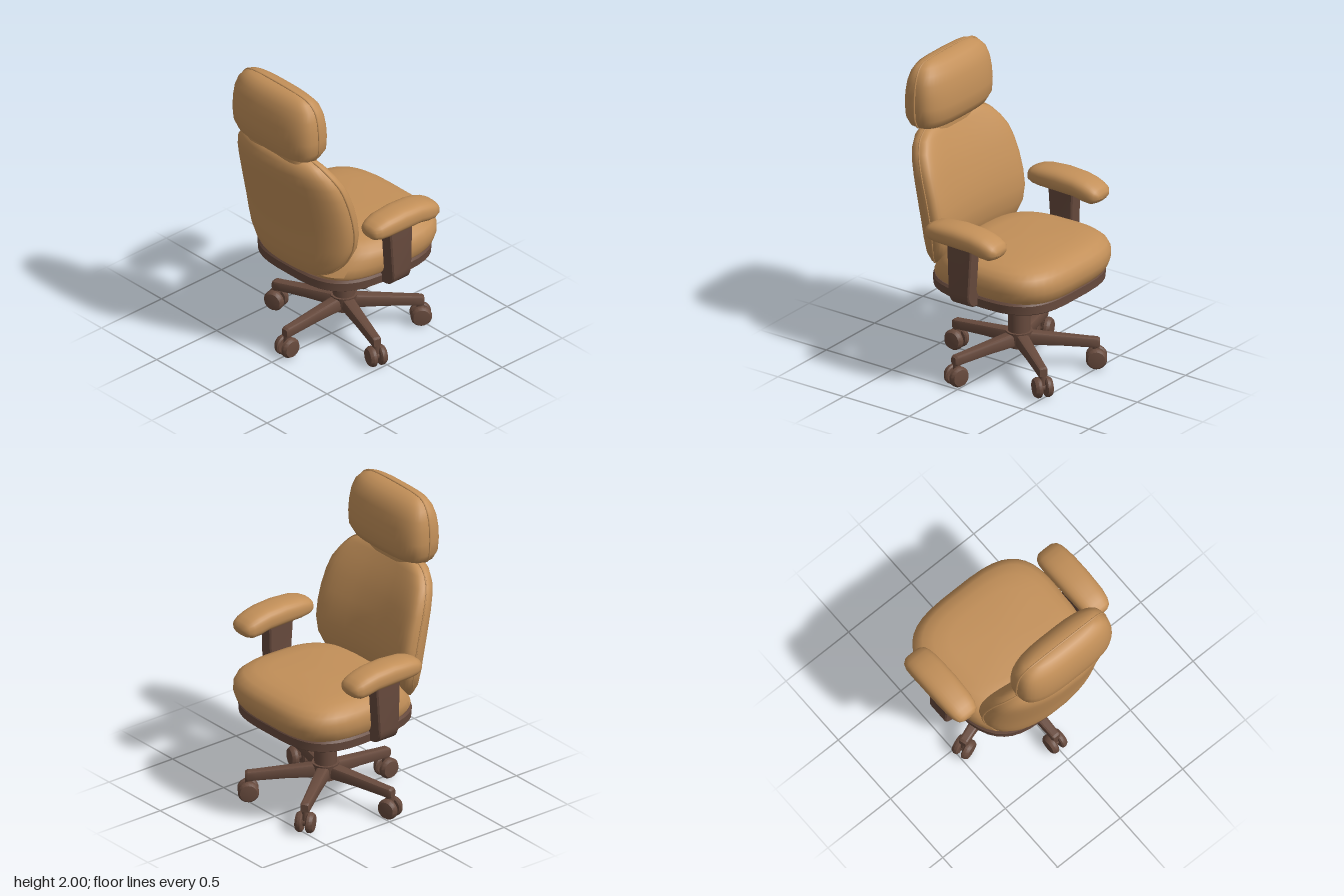
import * as THREE from 'three';
import { toCreasedNormals } from 'three/addons/utils/BufferGeometryUtils.js';

const leather = new THREE.MeshStandardMaterial({ color: 0xc39059 });
leather.name = 'tan leather';
const frame = new THREE.MeshStandardMaterial({ color: 0x674a3d });
frame.name = 'brown frame';

// Superellipse point: a runs between the section's two limits, w across its half width
function ringPoint([t, a0, a1, hw], angle, power) {
  const pow = v => Math.sign(v) * Math.abs(v) ** (2 / power);
  const a = (a0 + a1) / 2 + (a1 - a0) / 2 * pow(Math.cos(angle));
  return [t, a, hw * pow(Math.sin(angle))];
}

// Closed body through sections [t, a0, a1, halfWidth]: upright (t = y, a = x) or lying (t = x, a = y)
function loft(sections, { power = 3, sides = 40, lying = false, warp = null, crease = 0.7 } = {}) {
  const pos = [], index = [], n = sections.length;
  const add = ([t, a, w]) => {
    const v = lying ? new THREE.Vector3(t, a, -w) : new THREE.Vector3(a, t, w);
    if (warp) warp(v);
    pos.push(v.x, v.y, v.z);
  };
  for (const s of sections)
    for (let j = 0; j < sides; j++) add(ringPoint(s, (j + 0.5) / sides * Math.PI * 2, power));
  for (const s of [sections[0], sections[n - 1]]) add([s[0], (s[1] + s[2]) / 2, 0]);
  for (let j = 0; j < sides; j++) {
    const k = (j + 1) % sides, last = (n - 1) * sides;
    for (let i = 0; i < n - 1; i++) {
      const a = i * sides + j, b = i * sides + k;
      index.push(a, a + sides, b, b, a + sides, b + sides);
    }
    index.push(n * sides, j, k, n * sides + 1, last + k, last + j);
  }
  const geo = new THREE.BufferGeometry();
  geo.setAttribute('position', new THREE.Float32BufferAttribute(pos, 3));
  geo.setIndex(index);
  return toCreasedNormals(geo, crease);
}

// Piping along the side edges and over the top of an upright cushion
function piping(sections, bend) {
  const side = s => sections.map(([y, a, b, w]) => new THREE.Vector3((a + b) / 2 + bend, y, s * w));
  const path = new THREE.CatmullRomCurve3([...side(1), ...side(-1).reverse()]);
  return new THREE.TubeGeometry(path, 80, 0.006, 6);
}

export function createModel() {
  const model = new THREE.Group();
  const add = (name, geo, mat, parent = model) => {
    const mesh = new THREE.Mesh(geo, mat);
    mesh.name = name;
    parent.add(mesh);
    return mesh;
  };

  // Seat cushion and pan, a little narrower towards the back
  const taper = v => { if (v.x < 0.3) v.z *= 1 - 0.22 * (0.3 - v.x) ** 2; };
  add('seatCushion', loft([
    [0.65, -0.35, 0.55, 0.465], [0.68, -0.36, 0.572, 0.485], [0.73, -0.33, 0.587, 0.495],
    [0.78, -0.29, 0.582, 0.495], [0.82, -0.26, 0.562, 0.478], [0.85, -0.23, 0.525, 0.445],
    [0.87, -0.19, 0.46, 0.39], [0.88, -0.1, 0.38, 0.3]], { power: 3.4, warp: taper }), leather);
  add('seatPan', loft([
    [0.578, -0.355, 0.54, 0.46], [0.59, -0.37, 0.555, 0.478],
    [0.645, -0.37, 0.555, 0.485], [0.66, -0.36, 0.545, 0.475]],
  { power: 3.4, warp: taper, crease: 0.5 }), frame);

  // Backrest, wrapping forward at the sides
  const back = [
    [0.675, -0.385, -0.35, 0.24], [0.72, -0.41, -0.29, 0.33], [0.8, -0.43, -0.235, 0.405],
    [0.9, -0.445, -0.205, 0.445], [1.0, -0.46, -0.2, 0.46], [1.1, -0.48, -0.215, 0.463],
    [1.2, -0.5, -0.24, 0.46], [1.3, -0.52, -0.275, 0.452], [1.38, -0.535, -0.305, 0.435],
    [1.45, -0.545, -0.34, 0.4], [1.51, -0.54, -0.37, 0.345], [1.545, -0.52, -0.39, 0.28],
    [1.565, -0.49, -0.41, 0.2]];
  add('backrest', loft(back, { power: 3, warp: v => { v.x += 0.45 * v.z * v.z; } }), leather);
  const backSeam = piping(back, 0);
  const p = backSeam.attributes.position;
  for (let i = 0; i < p.count; i++) p.setX(i, p.getX(i) + 0.45 * p.getZ(i) ** 2);
  add('backrestPiping', backSeam, leather);

  // Headrest
  const head = [
    [1.565, -0.52, -0.36, 0.27], [1.585, -0.56, -0.315, 0.32], [1.64, -0.58, -0.287, 0.352],
    [1.72, -0.587, -0.283, 0.357], [1.8, -0.583, -0.29, 0.354], [1.87, -0.572, -0.303, 0.344],
    [1.93, -0.553, -0.325, 0.322], [1.97, -0.528, -0.36, 0.285], [1.99, -0.5, -0.395, 0.235],
    [1.998, -0.475, -0.425, 0.16]];
  add('headrest', loft(head, { power: 3 }), leather);
  add('headrestPiping', piping(head.slice(0, -1), 0), leather);
  add('headrestNeck', loft([[1.52, -0.52, -0.37, 0.25], [1.6, -0.52, -0.37, 0.25]]), leather);

  // Arms: padded rest on a curved bracket that flares towards the top
  const bracket = new THREE.Shape();
  bracket.moveTo(0.36, 0.595);
  bracket.lineTo(0.49, 0.6);
  bracket.quadraticCurveTo(0.565, 0.61, 0.568, 0.69);
  bracket.lineTo(0.56, 1.03);
  bracket.lineTo(0.485, 1.03);
  bracket.lineTo(0.492, 0.72);
  bracket.quadraticCurveTo(0.49, 0.655, 0.43, 0.65);
  bracket.lineTo(0.36, 0.65);
  for (const side of [1, -1]) {
    const arm = new THREE.Group();
    arm.name = side > 0 ? 'armNearLeft' : 'armFarRight';
    model.add(arm);
    add('armPad', loft([
      [-0.19, 1.025, 1.075, 0.045], [-0.175, 1.008, 1.095, 0.07], [-0.14, 0.998, 1.113, 0.086],
      [-0.08, 0.993, 1.13, 0.096], [0.05, 0.992, 1.14, 0.101], [0.18, 0.99, 1.132, 0.101],
      [0.25, 0.975, 1.118, 0.099], [0.3, 0.972, 1.1, 0.094], [0.335, 0.988, 1.078, 0.082],
      [0.355, 1.012, 1.052, 0.055]], { power: 2.7, sides: 28, lying: true }), leather, arm)
      .position.z = side * 0.53;
    const geo = new THREE.ExtrudeGeometry(bracket, {
      depth: 0.13, curveSegments: 6, bevelThickness: 0.008, bevelSize: 0.008, bevelSegments: 1 });
    geo.translate(0, 0, -0.065);
    geo.rotateY(side > 0 ? -Math.PI / 2 : Math.PI / 2);
    const q = geo.attributes.position;
    for (let i = 0; i < q.count; i++)
      q.setX(i, 0.06 + q.getX(i) * (1 + 0.3 * Math.max(0, (q.getY(i) - 0.6) / 0.42)));
    add('armBracket', toCreasedNormals(geo, 0.6), frame, arm);
  }

  // Gas column and hub
  const column = new THREE.Group();
  column.name = 'column';
  column.position.x = 0.1;
  model.add(column);
  const cyl = (name, r0, r1, y0, y1) =>
    add(name, new THREE.CylinderGeometry(r1, r0, y1 - y0, 16), frame, column).position.y = (y0 + y1) / 2;
  cyl('piston', 0.046, 0.046, 0.37, 0.56);
  cyl('pistonCollar', 0.042, 0.04, 0.55, 0.6);
  cyl('sleeve', 0.07, 0.07, 0.24, 0.38);
  cyl('sleeveTop', 0.07, 0.058, 0.38, 0.392);
  cyl('hub', 0.07, 0.085, 0.15, 0.255);

  // Five legs, each with a twin-wheel caster
  for (let i = 0; i < 5; i++) {
    const leg = new THREE.Group();
    leg.name = 'leg' + (i + 1);
    leg.position.x = 0.1;
    leg.rotation.y = Math.PI / 5 + i * Math.PI * 2 / 5;
    model.add(leg);
    add('legBeam', loft([
      [0.03, 0.16, 0.252, 0.042], [0.25, 0.155, 0.228, 0.036], [0.43, 0.142, 0.208, 0.031],
      [0.48, 0.138, 0.204, 0.03], [0.495, 0.145, 0.195, 0.024]],
    { power: 4.5, sides: 12, lying: true, crease: 0.4 }), frame, leg);
    add('casterStem', new THREE.CylinderGeometry(0.024, 0.024, 0.08, 10), frame, leg)
      .position.set(0.472, 0.12, 0);
    const axle = add('casterAxle', new THREE.CylinderGeometry(0.026, 0.026, 0.07, 10), frame, leg);
    axle.rotation.x = Math.PI / 2;
    axle.position.set(0.475, 0.07, 0);
    for (const s of [1, -1]) {
      const profile = [[0, 0], [0.056, 0], [0.066, 0.008], [0.066, 0.026], [0.054, 0.044], [0, 0.052]]
        .map(([r, h]) => new THREE.Vector2(r, h));
      const wheel = add('casterWheel', toCreasedNormals(new THREE.LatheGeometry(profile, 18), 0.6), frame, leg);
      wheel.rotation.x = s * Math.PI / 2;
      wheel.position.set(0.475, 0.07, s * 0.012);
    }
  }
  return model;
}
